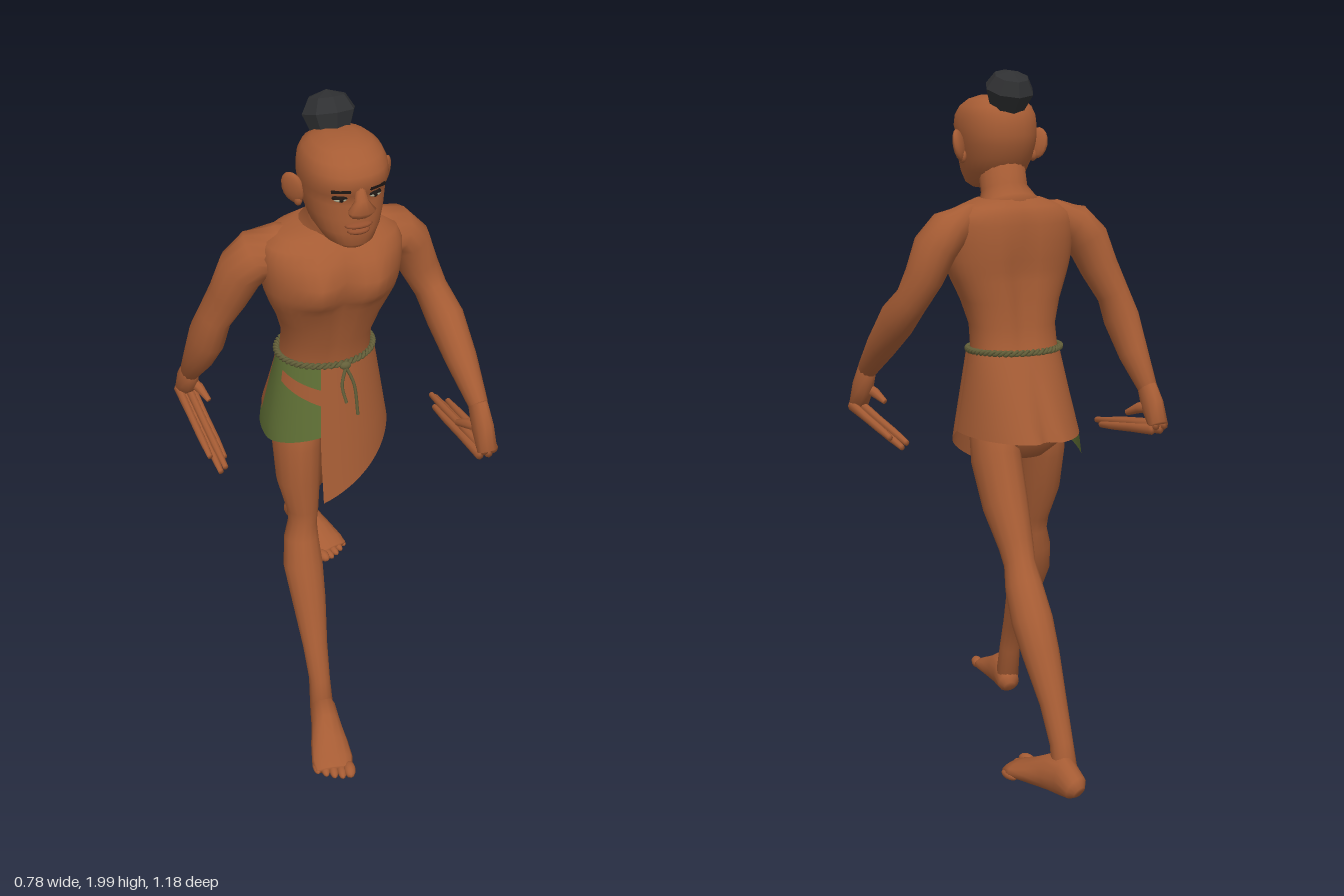
import * as THREE from 'three';

const mat = (name, color, side = THREE.FrontSide) => {
  const m = new THREE.MeshStandardMaterial({ color, side });
  m.name = name;
  return m;
};
const V = (x, y, z) => new THREE.Vector3(x, y, z);
const gauss = (a, w) => Math.exp(-(a * a) / (w * w));

// Skin a list of closed rings, with a fan at both ends
function loft(rings) {
  const n = rings[0].length, pos = [], idx = [];
  rings.forEach(r => r.forEach(p => pos.push(p.x, p.y, p.z)));
  for (let i = 0; i < rings.length - 1; i++)
    for (let j = 0; j < n; j++) {
      const a = i * n + j, b = i * n + (j + 1) % n;
      idx.push(a, b, b + n, a, b + n, a + n);
    }
  [0, rings.length - 1].forEach((r, end) => {
    const c = rings[r].reduce((s, p) => s.add(p), V(0, 0, 0)).divideScalar(n);
    const k = pos.length / 3;
    pos.push(c.x, c.y, c.z);
    for (let j = 0; j < n; j++) {
      const a = r * n + j, b = r * n + (j + 1) % n;
      if (end) idx.push(a, b, k); else idx.push(b, a, k);
    }
  });
  return build(pos, idx);
}

function build(pos, idx) {
  const g = new THREE.BufferGeometry();
  g.setAttribute('position', new THREE.Float32BufferAttribute(pos, 3));
  g.setIndex(idx);
  g.computeVertexNormals();
  return g;
}

// Limb along rows of [x, y, z, half width, half depth]
function limb(rows, n = 14) {
  const c = rows.map(r => V(r[0], r[1], r[2]));
  return loft(rows.map((r, i) => {
    const t = c[Math.min(i + 1, c.length - 1)].clone().sub(c[Math.max(i - 1, 0)]).normalize();
    const u = V(1, 0, 0).addScaledVector(t, -t.x).normalize();
    const v = t.clone().cross(u);
    return Array.from({ length: n }, (_, j) => {
      const a = j / n * Math.PI * 2;
      return c[i].clone().addScaledVector(u, r[3] * Math.cos(a)).addScaledVector(v, r[4] * Math.sin(a));
    });
  }));
}

// Level rings from rows of [y, front z, back z, half width], bottom to top
function stack(rows, n, pow, warp = () => {}) {
  const f = q => Math.sign(q) * Math.abs(q) ** pow;
  return loft(rows.map(([y, zf, zb, w]) => Array.from({ length: n }, (_, j) => {
    const a = j / n * Math.PI * 2;
    const p = V(w * f(Math.cos(a)), y, (zf + zb) / 2 - (zf - zb) / 2 * f(Math.sin(a)));
    warp(p, -Math.sin(a));
    return p;
  })));
}

// Hanging cloth between two angles (degrees, 0 = front, 90 = left side), creased at the back
function cloth(a0, a1, bottom, out = 0, top = () => 1.205, nu = 28, nv = 6) {
  const pos = [], idx = [];
  for (let i = 0; i <= nu; i++) for (let j = 0; j <= nv; j++) {
    const s = i / nu, k = j / nv, a = (a0 + (a1 - a0) * s) * Math.PI / 180, c = Math.cos(a);
    const y = top(s) + (bottom(s) - top(s)) * k, drop = (1.205 - y) / 0.235;
    const depth = c > 0 ? 0.11 + 0.038 * drop : (0.108 + 0.137 * drop) * (1 - 0.12 * drop * gauss(a - Math.PI, 0.13));
    pos.push(Math.sin(a) * (0.138 + 0.038 * Math.min(drop, 1.1) + out), y, 0.03 + c * (depth + out));
    if (i < nu && j < nv) {
      const q = i * (nv + 1) + j;
      idx.push(q, q + 1, q + nv + 2, q, q + nv + 2, q + nv + 1);
    }
  }
  return build(pos, idx);
}

export function createModel() {
  const root = new THREE.Group();
  root.name = 'walkingMan';
  const skin = mat('skin', 0xa65c34), lip = mat('lips', 0x95502e);
  const hide = mat('hide cloth', 0xa35b34, THREE.DoubleSide), green = mat('green cloth', 0x5f6f35, THREE.DoubleSide);
  const rope = mat('rope', 0x64603a), hair = mat('hair', 0x2f3032);
  const dark = mat('brow and pupil', 0x1d1613), white = mat('eye white', 0xa9a78c);
  hair.flatShading = true;
  const add = (name, geo, m, parent = root) => {
    const o = new THREE.Mesh(geo, m);
    o.name = name;
    parent.add(o);
    return o;
  };
  const ball = (name, m, p, s, parent = root) => {
    const o = add(name, new THREE.SphereGeometry(1, 12, 8), m, parent);
    o.position.set(...p);
    o.scale.set(...s);
    return o;
  };

  // Torso with chest, belly line and spine groove
  add('torso', stack([
    [0.9, 0.08, -0.07, 0.07], [0.95, 0.12, -0.12, 0.135], [1.02, 0.125, -0.135, 0.145], [1.1, 0.125, -0.12, 0.145],
    [1.2, 0.128, -0.07, 0.128], [1.28, 0.146, -0.058, 0.126], [1.35, 0.17, -0.055, 0.146], [1.41, 0.188, -0.05, 0.172],
    [1.44, 0.198, -0.05, 0.183], [1.47, 0.204, -0.052, 0.19], [1.52, 0.207, -0.054, 0.196], [1.57, 0.195, -0.05, 0.198],
    [1.6, 0.175, -0.043, 0.185], [1.62, 0.155, -0.032, 0.15], [1.64, 0.14, -0.012, 0.095]
  ], 36, 0.85, (p, f) => {
    if (f > 0.1) {
      p.z += f * 0.042 * gauss(Math.abs(p.x) - 0.08, 0.065) * gauss(p.y - 1.5, 0.06);
      p.z -= 0.012 * gauss(p.x, 0.018) * gauss(p.y - 1.42, 0.16);
    } else if (f < -0.1) p.z += 0.02 * gauss(p.x, 0.03) * gauss(p.y - 1.4, 0.2);
  }), skin);
  add('neck', limb([[0, 1.57, 0.05, 0.12, 0.085], [0, 1.62, 0.07, 0.09, 0.082], [0, 1.66, 0.095, 0.068, 0.068], [0, 1.76, 0.125, 0.066, 0.075]], 18), skin);

  // Head and face
  add('head', stack([
    [1.66, 0.268, 0.16, 0.04], [1.675, 0.282, 0.11, 0.066], [1.71, 0.285, 0.06, 0.088], [1.75, 0.284, 0.035, 0.1],
    [1.79, 0.28, 0.02, 0.107], [1.815, 0.28, 0.018, 0.11], [1.84, 0.297, 0.018, 0.112], [1.87, 0.29, 0.024, 0.109],
    [1.895, 0.268, 0.04, 0.098], [1.915, 0.235, 0.07, 0.075], [1.926, 0.2, 0.105, 0.04]
  ], 28, 0.9), skin);
  add('nose', limb([[0, 1.84, 0.285, 0.012, 0.012], [0, 1.81, 0.297, 0.018, 0.016], [0, 1.785, 0.303, 0.038, 0.021], [0, 1.77, 0.294, 0.03, 0.014]], 10), skin);
  ball('upperLip', lip, [0, 1.734, 0.28], [0.038, 0.009, 0.018]);
  ball('lowerLip', lip, [0, 1.718, 0.28], [0.031, 0.01, 0.018]);
  for (const s of [-1, 1]) {
    ball('eyeRim', dark, [s * 0.046, 1.811, 0.267], [0.021, 0.008, 0.011]).rotation.y = s * 0.3;
    ball('eyeWhite', white, [s * 0.046, 1.808, 0.269], [0.018, 0.006, 0.011]).rotation.y = s * 0.3;
    ball('pupil', dark, [s * 0.045, 1.809, 0.275], [0.007, 0.007, 0.007]);
    const brow = add('eyebrow', new THREE.BoxGeometry(0.05, 0.008, 0.01), dark);
    brow.position.set(s * 0.048, 1.836, 0.281);
    brow.rotation.set(0, s * 0.42, s * -0.05);
    const ear = ball('ear', skin, [s * 0.124, 1.787, 0.135], [0.014, 0.046, 0.034]);
    ear.rotation.set(-0.15, s * -0.7, s * -0.25);
    ball('earLobe', skin, [s * 0.112, 1.755, 0.138], [0.012, 0.02, 0.016]);
  }

  // Topknot
  const knot = add('topknot', new THREE.LatheGeometry(
    [[0, -0.062], [0.05, -0.055], [0.072, 0.002], [0.05, 0.04], [0, 0.056]].map(p => new THREE.Vector2(...p)), 8), hair);
  knot.position.set(0, 1.943, 0.058);
  knot.rotation.x = -0.35;

  // Legs: right strides forward, left trails
  add('rightLeg', limb([
    [-0.08, 1.02, 0.02, 0.07, 0.09], [-0.092, 0.9, 0.045, 0.07, 0.09], [-0.095, 0.78, 0.065, 0.064, 0.076], [-0.09, 0.68, 0.088, 0.047, 0.056],
    [-0.092, 0.635, 0.094, 0.042, 0.05], [-0.1, 0.58, 0.105, 0.052, 0.055], [-0.106, 0.5, 0.137, 0.06, 0.06], [-0.106, 0.4, 0.187, 0.052, 0.051],
    [-0.11, 0.27, 0.255, 0.038, 0.037], [-0.112, 0.17, 0.3, 0.032, 0.035], [-0.112, 0.06, 0.322, 0.036, 0.038]
  ]), skin);
  add('leftLeg', limb([
    [0.08, 1.02, 0, 0.07, 0.09], [0.092, 0.9, -0.045, 0.07, 0.09], [0.095, 0.78, -0.115, 0.064, 0.076], [0.095, 0.68, -0.185, 0.049, 0.056],
    [0.098, 0.635, -0.215, 0.044, 0.05], [0.104, 0.58, -0.255, 0.053, 0.055], [0.108, 0.5, -0.318, 0.058, 0.06], [0.106, 0.42, -0.37, 0.052, 0.052],
    [0.1, 0.3, -0.435, 0.038, 0.038], [0.1, 0.2, -0.486, 0.032, 0.035], [0.103, 0.11, -0.518, 0.036, 0.038]
  ]), skin);
  const foot = (name, s, p, yaw) => {
    const g = new THREE.Group();
    g.name = name;
    g.position.set(...p);
    g.rotation.y = yaw;
    add('footBody', limb([
      [0, 0.034, -0.08, 0.018, 0.02], [0, 0.042, -0.066, 0.034, 0.038], [0, 0.06, -0.02, 0.04, 0.059], [0, 0.055, 0.03, 0.045, 0.053],
      [0, 0.039, 0.09, 0.056, 0.037], [0, 0.027, 0.145, 0.062, 0.025], [0, 0.021, 0.18, 0.055, 0.017]]), skin, g);
    for (let i = 0; i < 5; i++) {
      const r = i ? 0.0135 : 0.018;
      ball('toe', skin, [s * (-0.045 + i * 0.0235), r + 0.003, 0.186 - i * i * 0.002], [r, r, 0.031], g);
    }
    root.add(g);
  };
  foot('rightFoot', -1, [-0.118, 0.004, 0.362], -0.18);
  foot('leftFoot', 1, [0.115, 0.06, -0.505], 0.27);

  // Arms, shoulder to wrist
  add('leftArm', limb([
    [0.06, 1.575, 0.07, 0.035, 0.06], [0.14, 1.57, 0.06, 0.048, 0.07], [0.2, 1.553, 0.045, 0.062, 0.075], [0.24, 1.51, 0.04, 0.062, 0.072],
    [0.27, 1.43, 0.05, 0.055, 0.062], [0.3, 1.36, 0.075, 0.046, 0.054], [0.32, 1.295, 0.14, 0.052, 0.06], [0.334, 1.21, 0.23, 0.044, 0.048],
    [0.346, 1.12, 0.33, 0.027, 0.034]
  ]), skin);
  add('rightArm', limb([
    [-0.06, 1.575, 0.07, 0.035, 0.06], [-0.14, 1.57, 0.06, 0.048, 0.07], [-0.2, 1.553, 0.045, 0.062, 0.075], [-0.24, 1.51, 0.035, 0.062, 0.072],
    [-0.27, 1.43, 0.015, 0.055, 0.062], [-0.304, 1.35, -0.012, 0.046, 0.057], [-0.325, 1.28, -0.025, 0.05, 0.065], [-0.338, 1.18, -0.08, 0.042, 0.05],
    [-0.352, 1.09, -0.14, 0.027, 0.034]
  ]), skin);

  // Hands: long straight fingers folded along the stride
  const hand = (name, s, wrist, knuckle, tip, thumb) => {
    const g = new THREE.Group();
    g.name = name;
    const mid = wrist.map((w, i) => (w + knuckle[i]) / 2);
    add('palm', limb([[...wrist, 0.026, 0.034], [...mid, 0.03, 0.042], [...knuckle, 0.03, 0.026]], 10), skin, g);
    for (let i = 0; i < 4; i++) {
      const dx = s * (i - 1.5) * 0.014, dy = (i % 2) * 0.012 - 0.012, short = i === 0 || i === 3 ? 0.85 : 1;
      const at = k => [knuckle[0] + (tip[0] - knuckle[0]) * k + dx, knuckle[1] + (tip[1] - knuckle[1]) * k + dy, knuckle[2] + (tip[2] - knuckle[2]) * k];
      add('finger', limb([[...at(0), 0.013, 0.016], [...at(0.4 * short), 0.011, 0.013], [...at(0.75 * short), 0.011, 0.012], [...at(short), 0.008, 0.009]], 8), skin, g);
    }
    add('thumb', limb([[...mid, 0.018, 0.02], [mid[0] - s * 0.025, mid[1] - 0.015, mid[2] + thumb * 0.04, 0.014, 0.016],
      [mid[0] - s * 0.04, mid[1] - 0.035, mid[2] + thumb * 0.08, 0.008, 0.009]], 8), skin, g);
    root.add(g);
  };
  hand('leftHand', 1, [0.346, 1.125, 0.325], [0.355, 0.998, 0.388], [0.342, 0.955, 0.04], -1);
  hand('rightHand', -1, [-0.352, 1.095, -0.135], [-0.355, 0.99, -0.2], [-0.342, 0.935, 0.14], 1);

  // Loincloth
  add('backCloth', cloth(75, 252, () => 0.972), hide);
  add('hipCloth', cloth(-116, -15, s => 0.9 + 0.09 * s, -0.002), green);
  add('frontFlap', cloth(-20, 88, s => 0.775 + 0.2 * s, 0.006), hide);
  add('flapFold', cloth(-70, -15, s => 1.145 - 0.06 * s, 0.006, s => 1.18 - 0.045 * s), hide);

  // Twisted rope belt with knot and loose ends
  for (const ph of [0, Math.PI]) {
    const pts = Array.from({ length: 160 }, (_, i) => {
      const a = i / 160 * Math.PI * 2, w = a * 26 + ph, r = 0.005 * Math.cos(w);
      return V(Math.sin(a) * (0.139 + r), 1.211 + 0.005 * Math.sin(w), 0.03 + Math.cos(a) * (0.111 + r));
    });
    add('ropeBelt', new THREE.TubeGeometry(new THREE.CatmullRomCurve3(pts, true), 320, 0.0055, 5, true), rope);
  }
  ball('ropeKnot', rope, [0.02, 1.207, 0.147], [0.017, 0.012, 0.01]);
  for (const [x, y] of [[0.005, 1.1], [0.04, 1.05]])
    add('ropeEnd', new THREE.TubeGeometry(new THREE.CatmullRomCurve3([V(0.02, 1.205, 0.15), V(x, 1.15, 0.162), V(x + 0.008, y, 0.176)]), 10, 0.005, 5), rope);

  return root;
}
